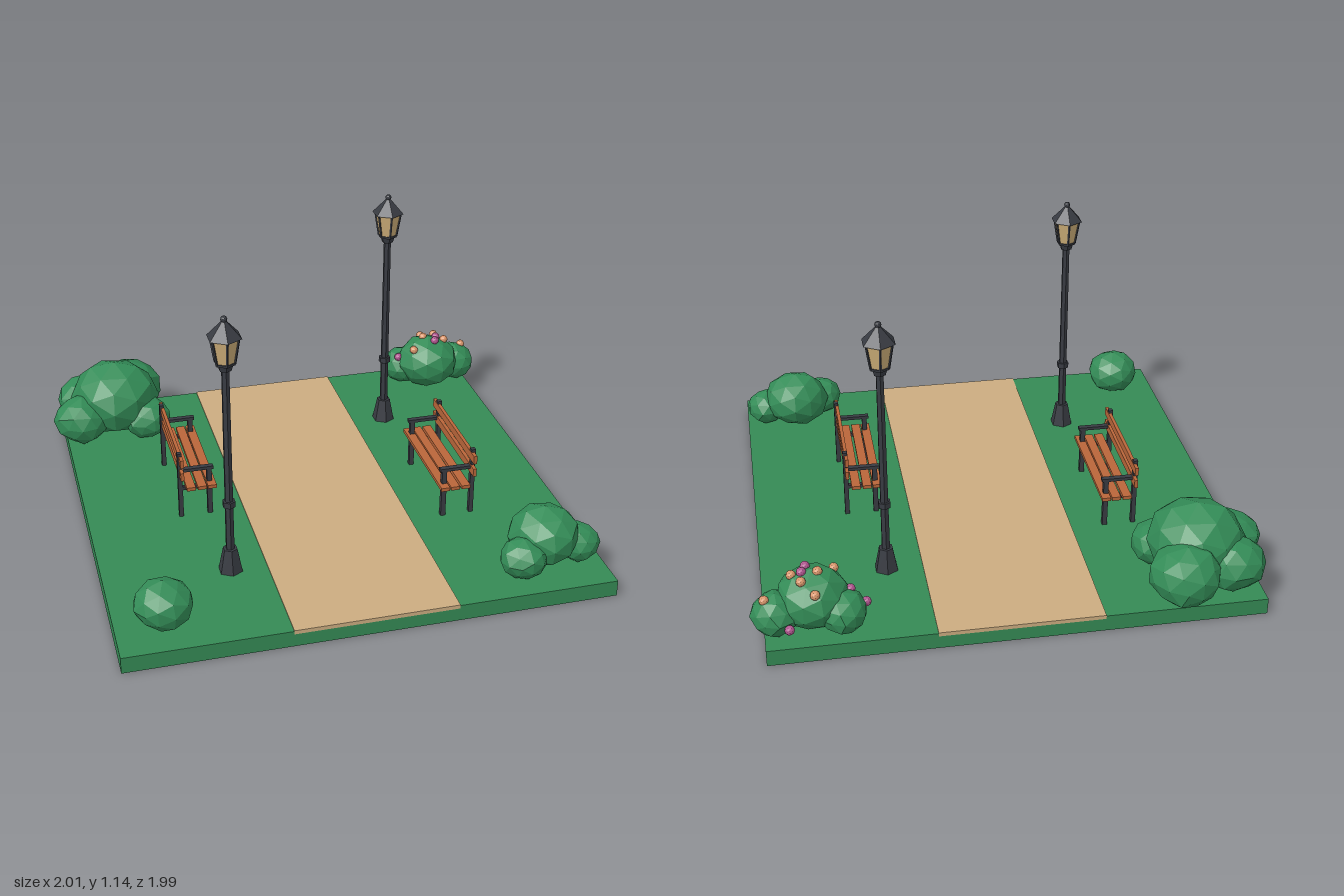
import * as THREE from 'three';

const mat = (name, color) => {
  const m = new THREE.MeshStandardMaterial({ color, flatShading: true });
  m.name = name;
  return m;
};
const GRASS = mat('grass green', 0x358a55);
const LEAF = mat('leaf green', 0x338c57);
const SAND = mat('sand path', 0xcbac80);
const METAL = mat('dark metal', 0x383b42);
const GLASS = mat('lamp glass', 0xcdae78);
const WOOD = mat('bench wood', 0xb9663a);
const PINK = mat('pink petal', 0xb0558f);
const PEACH = mat('peach petal', 0xd9966c);

const GROUND = 0.066;

function add(parent, name, geometry, material, x = 0, y = 0, z = 0) {
  const mesh = new THREE.Mesh(geometry, material);
  mesh.name = name;
  mesh.position.set(x, y, z);
  parent.add(mesh);
  return mesh;
}

function group(parent, name, x = 0, y = 0, z = 0) {
  const g = new THREE.Group();
  g.name = name;
  g.position.set(x, y, z);
  parent.add(g);
  return g;
}

const box = (w, h, d) => new THREE.BoxGeometry(w, h, d);

// Faceted blob: each corner is pushed in or out by a rule based on its position
function blobGeometry(r, ry, seed) {
  const geo = new THREE.IcosahedronGeometry(1, 1);
  const p = geo.attributes.position;
  const v = new THREE.Vector3();
  for (let i = 0; i < p.count; i++) {
    v.fromBufferAttribute(p, i).normalize();
    const k = 1 + 0.045 * Math.sin(v.x * 7.1 + v.y * 11.3 + v.z * 5.7 + seed * 2.3);
    p.setXYZ(i, v.x * r * k, v.y * ry * k, v.z * r * k);
  }
  geo.rotateY(seed * 1.7);
  geo.computeVertexNormals();
  return geo;
}

// Bush made of overlapping blobs, each given as [x, z, radius]
function bush(parent, name, blobs) {
  const g = group(parent, name);
  blobs.forEach(([x, z, r], i) => {
    const ry = r * 0.85;
    add(g, 'foliage', blobGeometry(r, ry, i + Math.abs(x) * 5), LEAF, x, GROUND + ry * 0.96, z);
  });
  return g;
}

// Height of the foliage at a point, for seating the flowers
function foliageHeight(blobs, x, z) {
  let top = GROUND + 0.06;
  for (const [bx, bz, r] of blobs) {
    const d2 = ((x - bx) ** 2 + (z - bz) ** 2) / (r * r);
    if (d2 < 1) top = Math.max(top, GROUND + r * 0.85 * (0.96 + Math.sqrt(1 - d2)));
  }
  return top;
}

// Six-sided street lamp
function lamp(parent, x, z) {
  const g = group(parent, 'streetLamp', x, 0, z);
  const hex = (name, rTop, rBottom, y0, y1, material = METAL) =>
    add(g, name, new THREE.CylinderGeometry(rTop, rBottom, y1 - y0, 6), material, 0, (y0 + y1) / 2, 0);
  hex('lampBase', 0.029, 0.05, GROUND - 0.005, 0.165);
  hex('lampPost', 0.0155, 0.0175, 0.16, 0.94);
  hex('postRing', 0.026, 0.026, 0.353, 0.377);
  hex('lanternCollar', 0.032, 0.024, 0.928, 0.955);
  hex('lanternFloor', 0.042, 0.04, 0.953, 0.963);
  hex('lanternGlass', 0.055, 0.037, 0.96, 1.062, GLASS);
  hex('lanternRoof', 0.01, 0.068, 1.06, 1.122);
  add(g, 'finial', new THREE.IcosahedronGeometry(0.013, 1), METAL, 0, 1.13, 0);
  // Glazing bars along the lantern corners
  for (let i = 0; i < 6; i++) {
    const a = (i * Math.PI) / 3;
    const from = new THREE.Vector3(Math.sin(a) * 0.038, 0.958, Math.cos(a) * 0.038);
    const to = new THREE.Vector3(Math.sin(a) * 0.056, 1.064, Math.cos(a) * 0.056);
    const dir = to.clone().sub(from);
    const bar = add(g, 'lanternBar', new THREE.CylinderGeometry(0.005, 0.005, dir.length(), 4), METAL);
    bar.position.copy(from).add(to).multiplyScalar(0.5);
    bar.quaternion.setFromUnitVectors(new THREE.Vector3(0, 1, 0), dir.normalize());
  }
}

// Bench with its back at local -x, facing +x
function bench(parent, x, z, turn) {
  const g = group(parent, 'bench', x, 0, z);
  g.rotation.y = turn;
  const length = 0.51;
  for (const sx of [-0.028, 0.017, 0.058]) add(g, 'seatSlat', box(0.036, 0.015, length), WOOD, sx, 0.209, 0);
  for (const sy of [0.27, 0.328]) add(g, 'backSlat', box(0.014, 0.035, length), WOOD, -0.062, sy, 0);
  for (const side of [-1, 1]) {
    const sz = side * 0.21;
    add(g, 'backPost', box(0.018, 0.295, 0.02), METAL, -0.066, 0.21, sz);
    add(g, 'frontLeg', box(0.02, 0.215, 0.02), METAL, 0.053, 0.17, sz);
    add(g, 'armrest', box(0.145, 0.013, 0.022), METAL, -0.002, 0.278, sz);
    add(g, 'seatRail', box(0.13, 0.014, 0.018), METAL, -0.004, 0.195, sz);
  }
}

export function createModel() {
  const model = new THREE.Group();
  model.name = 'parkScene';

  // Ground slab and path
  add(model, 'lawn', box(1.904, GROUND, 1.908), GRASS, 0, GROUND / 2, 0.041);
  add(model, 'path', box(0.636, 0.016, 1.911), SAND, 0, 0.062, 0.041);

  lamp(model, 0.46, -0.465);
  lamp(model, -0.46, 0.55);

  bench(model, -0.509, -0.09, 0);
  bench(model, 0.509, 0.168, Math.PI);

  bush(model, 'largeBush', [
    [-0.72, -0.69, 0.19], [-0.635, -0.86, 0.14], [-0.88, -0.61, 0.122],
    [-0.6, -0.585, 0.105], [-0.84, -0.79, 0.125],
  ]);
  bush(model, 'frontBush', [[0.73, 0.775, 0.14], [0.615, 0.855, 0.092], [0.862, 0.8, 0.087]]);
  bush(model, 'smallBush', [[-0.765, 0.83, 0.112]]);

  // Flowering bush
  const blobs = [[0.765, -0.76, 0.14], [0.66, -0.82, 0.095], [0.905, -0.79, 0.097]];
  const flowerBush = bush(model, 'flowerBush', blobs);
  const flowers = [
    [0.57, -0.8, PINK], [0.625, -0.77, PINK], [0.76, -0.865, PEACH], [0.86, -0.88, PINK],
    [0.945, -0.81, PEACH], [0.807, -0.81, PEACH], [0.743, -0.77, PEACH], [0.802, -0.762, PINK],
    [0.84, -0.755, PEACH], [0.786, -0.725, PINK], [0.68, -0.71, PEACH],
  ];
  for (const [x, z, material] of flowers) {
    add(flowerBush, 'flower', new THREE.IcosahedronGeometry(0.019, 1), material, x, foliageHeight(blobs, x, z), z);
  }
  return model;
}
